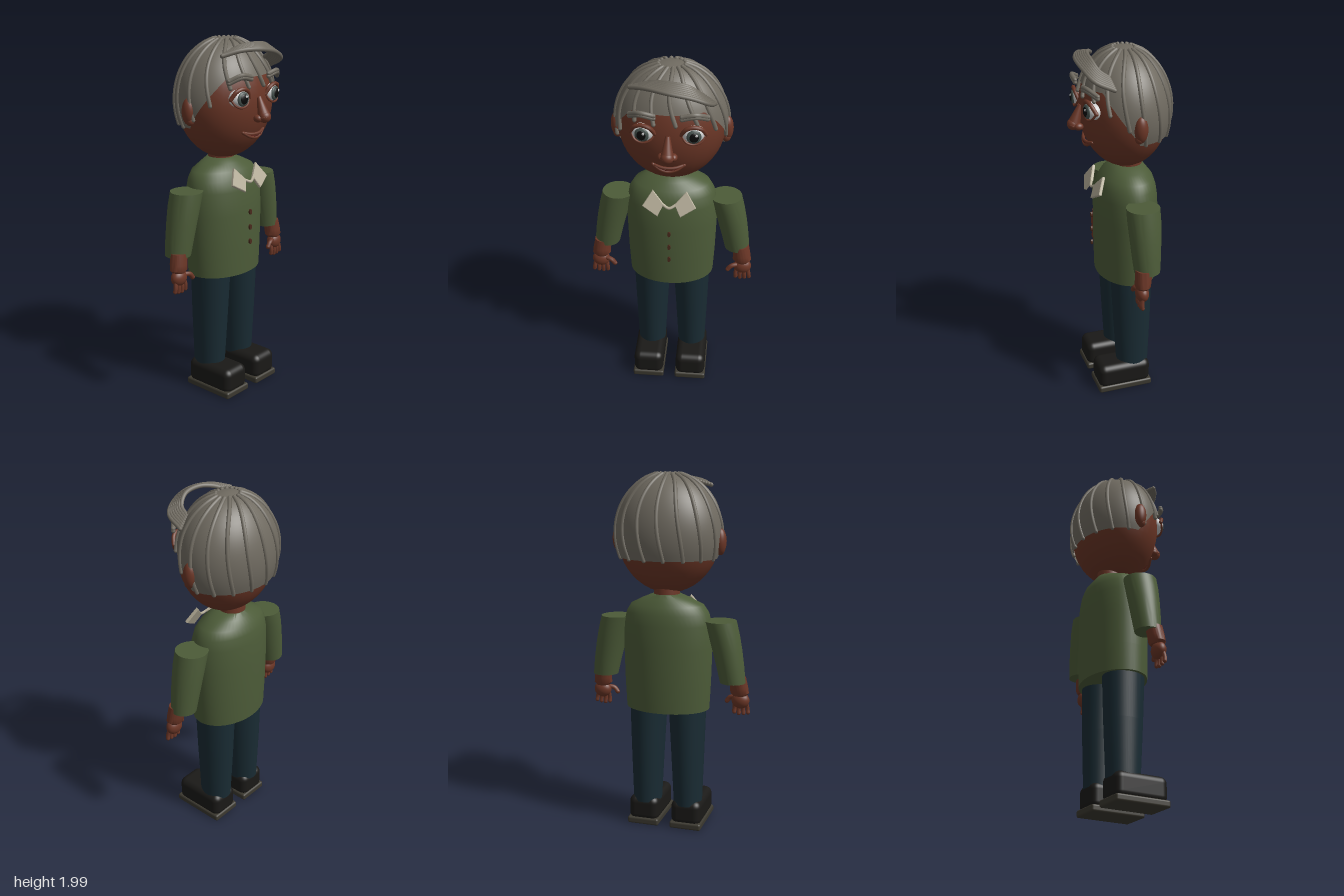
import * as THREE from 'three';
import { toCreasedNormals } from 'three/addons/utils/BufferGeometryUtils.js';
import { RoundedBoxGeometry } from 'three/addons/geometries/RoundedBoxGeometry.js';

const mat = (color) => new THREE.MeshStandardMaterial({ color, roughness: 0.8, side: THREE.DoubleSide });
const M = {
  skin: mat(0x6b3626), lip: mat(0x5a1f18), hair: mat(0x6f6a60), shirt: mat(0x4c5b38), cream: mat(0xb5ad98),
  trousers: mat(0x192b33), shoe: mat(0x1a1917), sole: mat(0x3b382f), white: mat(0xe0e0dc),
  iris: mat(0x46524e), black: mat(0x0a0a0a), button: mat(0x4a2a1c),
};
const V = (p) => new THREE.Vector3(...p);

function add(parent, name, geo, material, pos = [0, 0, 0], scale = [1, 1, 1], rot = [0, 0, 0]) {
  const m = new THREE.Mesh(geo, material);
  m.name = name;
  m.position.set(...pos);
  m.scale.set(...scale);
  m.rotation.set(...rot);
  parent.add(m);
  return m;
}

const ball = (parent, name, material, pos, radii) =>
  add(parent, name, new THREE.SphereGeometry(1, 32, 24), material, pos, radii);

// smooth tube through points, with rounded ends
function strand(parent, name, pts, r, material, seg = 20) {
  const g = new THREE.Group();
  g.name = name;
  add(g, name, new THREE.TubeGeometry(new THREE.CatmullRomCurve3(pts.map(V)), seg, r, 8), material);
  for (const p of [pts[0], pts[pts.length - 1]])
    add(g, name + 'Tip', new THREE.SphereGeometry(r, 8, 6), material, p);
  parent.add(g);
}

// surface wrapped round y: fn(angle, row) gives a point, rows run upwards
function wrap(rows, fn, seg = 48, crease = 0.7) {
  const pos = [], idx = [];
  for (let i = 0; i < rows; i++)
    for (let j = 0; j <= seg; j++) pos.push(...fn((j / seg) * Math.PI * 2, i));
  for (let i = 0; i < rows - 1; i++)
    for (let j = 0; j < seg; j++) {
      const a = i * (seg + 1) + j, c = a + seg + 1;
      idx.push(a, a + 1, c, a + 1, c + 1, c);
    }
  const g = new THREE.BufferGeometry();
  g.setAttribute('position', new THREE.Float32BufferAttribute(pos, 3));
  g.setIndex(idx);
  return toCreasedNormals(g, crease);
}

// closed loft of ellipses, each [y, centreX, halfWidth, centreZ, halfDepth]
function loft(sections) {
  const flat = (s) => [s[0], s[1], 0, s[3], 0];
  const all = [flat(sections[0]), ...sections, flat(sections[sections.length - 1])];
  return wrap(all.length, (a, i) => {
    const [y, cx, w, cz, d] = all[i];
    return [cx + w * Math.sin(a), y, cz + d * Math.cos(a)];
  });
}

// point on the scalp, and the polar angle of the hairline at each heading
const scalp = (a, th) => [
  0.295 * Math.sin(th) * Math.sin(a), 1.665 + 0.327 * Math.cos(th), -0.03 + 0.246 * Math.sin(th) * Math.cos(a)];
const hairline = (a, drop = 0) => {
  const y = 1.54 + 0.265 * Math.min(1, Math.max(0, Math.cos(a) / 0.75)) - drop;
  return Math.acos((y - 1.665) / 0.327);
};

function buildHair() {
  const hair = new THREE.Group();
  hair.name = 'hair';
  add(hair, 'hairCap', wrap(21, (a, i) => scalp(a, hairline(a) * (1 - i / 20)), 96, 1), M.hair);
  // strands running from the crown to the hairline
  const count = 16;
  for (let k = 0; k < count; k++) {
    const a = ((k + 0.35) / count) * Math.PI * 2;
    const end = hairline(a, Math.cos(a) > 0.5 ? 0.05 : 0);
    const pts = [];
    for (let i = 0; i <= 8; i++) {
      const t = i / 8;
      pts.push(scalp(a - 0.13 * Math.sin(t * Math.PI), 0.24 + (end - 0.24) * t));
    }
    strand(hair, 'hairStrand', pts, 0.011, M.hair);
  }
  // swept quiff over the forehead
  for (let k = 0; k < 7; k++) {
    strand(hair, 'quiffStrand', [
      [0.225 - 0.01 * k, 1.83 + 0.008 * k, 0.09 + 0.002 * k],
      [0.205 - 0.009 * k, 1.875 + 0.006 * k, 0.185 - 0.006 * k],
      [0.12 - 0.004 * k, 1.92 + 0.006 * k, 0.222 - 0.008 * k],
      [0, 1.945 + 0.004 * k, 0.228 - 0.01 * k],
      [-0.11 + 0.006 * k, 1.945 + 0.002 * k, 0.185 - 0.008 * k],
      [-0.195 + 0.015 * k, 1.92 + 0.004 * k, 0.125 - 0.001 * k],
    ], 0.012, M.hair, 28);
  }
  return hair;
}

function buildHead() {
  const head = new THREE.Group();
  head.name = 'head';
  ball(head, 'skull', M.skin, [0, 1.668, -0.03], [0.285, 0.322, 0.238]);
  add(head, 'neck', new THREE.CylinderGeometry(0.07, 0.075, 0.12, 32), M.skin, [0, 1.34, -0.06]);
  for (const s of [-1, 1]) {
    // ear
    ball(head, 'ear', M.skin, [s * 0.288, 1.632, -0.028], [0.033, 0.07, 0.036]);
    ball(head, 'earLobe', M.skin, [s * 0.285, 1.585, -0.02], [0.024, 0.028, 0.024]);
    // eye, with its iris, pupil, glint and lids
    const eye = new THREE.Group();
    eye.name = 'eye';
    eye.position.set(s * 0.125, 1.703, 0.175);
    eye.rotation.y = s * 0.15;
    ball(eye, 'eyeball', M.white, [0, 0, 0], [0.06, 0.047, 0.044]);
    ball(eye, 'iris', M.iris, [0, 0, 0.035], [0.037, 0.037, 0.013]);
    ball(eye, 'pupil', M.black, [0, 0, 0.043], [0.024, 0.026, 0.008]);
    ball(eye, 'glint', M.white, [0.011, 0.013, 0.05], [0.007, 0.007, 0.003]);
    for (const [name, y, r] of [['upperLid', 0.05, 0.011], ['lowerLid', -0.047, 0.006]])
      strand(eye, name, [[-0.062, 0, 0.01], [-0.038, y * 0.75, 0.026], [0, y, 0.03],
        [0.038, y * 0.75, 0.026], [0.062, 0, 0.01]], r, M.skin);
    head.add(eye);
    // eyebrow
    for (let k = 0; k < 2; k++)
      strand(head, 'eyebrow', [[s * 0.195, 1.785 + 0.012 * k, 0.17], [s * 0.14, 1.812 + 0.012 * k, 0.21],
        [s * 0.07, 1.798 + 0.014 * k, 0.212]], 0.012, M.hair);
    ball(head, 'nostril', M.skin, [s * 0.03, 1.59, 0.225], [0.021, 0.02, 0.025]);
  }
  // nose
  add(head, 'noseBridge', new THREE.CylinderGeometry(0.012, 0.036, 0.115, 24), M.skin,
    [0, 1.645, 0.226], [1, 1, 1], [-0.35, 0, 0]);
  ball(head, 'noseTip', M.skin, [0, 1.598, 0.247], [0.034, 0.032, 0.033]);
  // mouth
  const smile = (name, y, bow, r, m) => strand(head, name,
    [[-0.08, 1.513, 0.168], [-0.04, y + bow, 0.182], [0, y, 0.186], [0.04, y + bow, 0.182], [0.08, 1.513, 0.168]], r, m);
  smile('upperLip', 1.5, 0.003, 0.008, M.skin);
  smile('mouthLine', 1.491, 0.006, 0.007, M.lip);
  smile('lowerLip', 1.48, 0.009, 0.009, M.skin);
  head.add(buildHair());
  return head;
}

function buildArm(s) {
  const arm = new THREE.Group();
  arm.name = s > 0 ? 'leftArm' : 'rightArm';
  add(arm, 'sleeve', loft([
    [0.865, s * 0.37, 0.07, -0.04, 0.07], [0.95, s * 0.356, 0.076, -0.04, 0.078],
    [1.05, s * 0.336, 0.082, -0.04, 0.085], [1.13, s * 0.318, 0.085, -0.04, 0.09],
    [1.205, s * 0.297, 0.088, -0.04, 0.09]]), M.shirt);
  add(arm, 'forearm', loft([
    [0.785, s * 0.403, 0.037, -0.005, 0.035], [0.8, s * 0.402, 0.052, -0.005, 0.042],
    [0.83, s * 0.4, 0.05, -0.008, 0.044], [0.89, s * 0.39, 0.048, -0.015, 0.045]]), M.skin);
  ball(arm, 'palm', M.skin, [s * 0.407, 0.755, 0], [0.05, 0.046, 0.036]);
  for (let k = 0; k < 4; k++)
    strand(arm, 'finger', [[s * (0.375 + 0.021 * k), 0.745, 0.005],
      [s * (0.37 + 0.025 * k), 0.705, 0.012],
      [s * (0.37 + 0.026 * k), 0.675 + 0.006 * Math.abs(k - 1.3), 0.01]], 0.0115, M.skin, 8);
  strand(arm, 'thumb', [[s * 0.385, 0.77, 0.01], [s * 0.345, 0.763, 0.02], [s * 0.325, 0.74, 0.022]], 0.0135, M.skin, 8);
  return arm;
}

function buildLeg(s) {
  const leg = new THREE.Group();
  leg.name = s > 0 ? 'leftLeg' : 'rightLeg';
  add(leg, 'trouserLeg', loft([[0.14, s * 0.12, 0.08, -0.045, 0.093], [0.45, s * 0.117, 0.093, -0.042, 0.108],
    [0.74, s * 0.113, 0.105, -0.038, 0.118]]), M.trousers);
  add(leg, 'shoe', new RoundedBoxGeometry(0.174, 0.145, 0.308, 5, 0.04), M.shoe, [s * 0.125, 0.094, 0.022]);
  add(leg, 'sole', new RoundedBoxGeometry(0.183, 0.04, 0.318, 3, 0.012), M.sole, [s * 0.125, 0.022, 0.022]);
  return leg;
}

function buildTorso() {
  const torso = new THREE.Group();
  torso.name = 'torso';
  add(torso, 'shirt', loft([
    [0.7, 0, 0.236, -0.04, 0.168], [0.85, 0, 0.244, -0.04, 0.171], [1.05, 0, 0.25, -0.04, 0.171],
    [1.18, 0, 0.246, -0.042, 0.164], [1.24, 0, 0.233, -0.045, 0.152], [1.285, 0, 0.205, -0.05, 0.132],
    [1.32, 0, 0.135, -0.055, 0.1], [1.345, 0, 0.075, -0.06, 0.075]]), M.shirt);
  for (const y of [0.89, 0.973, 1.06])
    add(torso, 'button', new THREE.CylinderGeometry(0.015, 0.015, 0.01, 16), M.button,
      [0, y, 0.155], [0.6, 1, 1], [Math.PI / 2, 0, 0]);
  // neck bow, leaning forward
  const bow = new THREE.Group();
  bow.name = 'bow';
  bow.position.set(0, 1.31, 0.11);
  bow.rotation.x = -0.45;
  for (const s of [-1, 1]) {
    const wing = new THREE.Shape([[0.14, -0.083], [0.09, 0], [0.032, -0.07], [0.062, -0.133]]
      .map(([x, y]) => new THREE.Vector2(s * x, y)));
    add(bow, 'bowWing', new THREE.ExtrudeGeometry(wing,
      { depth: 0.012, bevelSize: 0.003, bevelThickness: 0.003, bevelSegments: 1 }), M.cream, [0, 0, -0.006]);
  }
  strand(bow, 'bowTie', [[-0.04, -0.068, 0], [0, -0.09, 0.006], [0.04, -0.068, 0]], 0.008, M.cream);
  torso.add(bow);
  return torso;
}

export function createModel() {
  const model = new THREE.Group();
  model.name = 'figure';
  model.add(buildHead(), buildTorso());
  for (const s of [-1, 1]) model.add(buildArm(s), buildLeg(s));
  return model;
}
